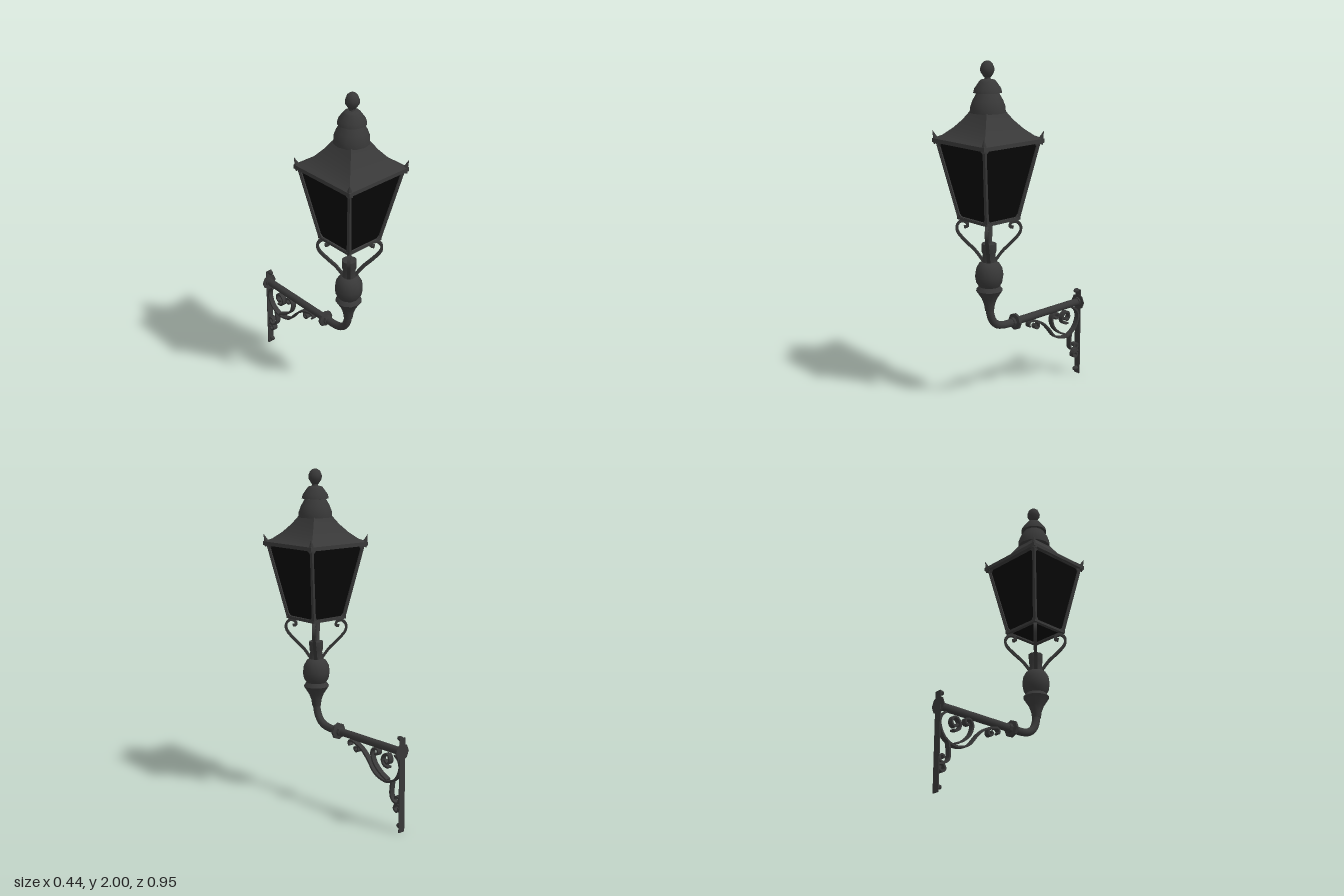
import * as THREE from 'three';
import { toCreasedNormals } from 'three/addons/utils/BufferGeometryUtils.js';

const iron = new THREE.MeshStandardMaterial({ color: 0x383838 });
iron.name = 'iron';
const glass = new THREE.MeshStandardMaterial({ color: 0x070707, side: THREE.DoubleSide });
glass.name = 'dark glass';

const LAMP_Z = 0.25;
const V2 = (p) => new THREE.Vector2(p[0], p[1]);

function add(parent, name, geometry, material = iron) {
  const mesh = new THREE.Mesh(geometry, material);
  mesh.name = name;
  parent.add(mesh);
  return mesh;
}

// Turned part; profile runs from bottom to top as [radius, y]
function turned(profile, sides, crease = 0.75, phi = 0) {
  return toCreasedNormals(new THREE.LatheGeometry(profile.map(V2), sides, phi), crease);
}

// Flat iron strip following a curve in the xy plane, centred on z = 0
function ribbon(points, thickness, width, divisions) {
  const curve = new THREE.SplineCurve(points.map(V2));
  const left = [], right = [];
  for (let i = 0; i <= divisions; i++) {
    const p = curve.getPoint(i / divisions), t = curve.getTangent(i / divisions);
    const n = new THREE.Vector2(-t.y, t.x).multiplyScalar(thickness / 2);
    left.push(p.clone().add(n));
    right.push(p.clone().sub(n));
  }
  const g = new THREE.ExtrudeGeometry(new THREE.Shape(left.concat(right.reverse())),
    { depth: width, bevelEnabled: false });
  return toCreasedNormals(g.translate(0, 0, -width / 2), 0.7);
}

// Straight bar between two points
function bar(a, b, radius, sides) {
  const dir = b.clone().sub(a);
  const g = new THREE.CylinderGeometry(radius, radius, dir.length(), sides);
  g.applyQuaternion(new THREE.Quaternion().setFromUnitVectors(
    new THREE.Vector3(0, 1, 0), dir.normalize()));
  return toCreasedNormals(g.translate(...a.clone().add(b).multiplyScalar(0.5).toArray()), 0.8);
}

function buildLantern() {
  const g = new THREE.Group();
  g.name = 'lantern';
  g.position.z = LAMP_Z;
  const y0 = 1.13, y1 = 1.575, b = 0.12, t = 0.203, R2 = Math.SQRT2;

  // Dark glazing, sloping outward, and its floor
  const panes = new THREE.CylinderGeometry((t - 0.012) * R2, (b - 0.008) * R2, y1 - y0, 4, 1, true)
    .rotateY(Math.PI / 4).translate(0, (y0 + y1) / 2, 0);
  add(g, 'glassPanes', toCreasedNormals(panes, 0.3), glass);
  add(g, 'glassFloor', new THREE.PlaneGeometry(2 * b - 0.02, 2 * b - 0.02)
    .rotateX(Math.PI / 2).translate(0, y0 + 0.006, 0), glass);

  // Window frames with clipped corners
  const slant = Math.hypot(y1 - y0, t - b), tilt = Math.atan2(t - b, y1 - y0);
  const frame = new THREE.Shape([[-b, 0], [b, 0], [t, slant], [-t, slant]].map(V2));
  const lo = b - 0.014, hi = t - 0.02, top = slant - 0.016;
  frame.holes.push(new THREE.Path([[-lo + 0.012, 0.014], [-lo - 0.002, 0.03],
    [-hi + 0.002, top - 0.02], [-hi + 0.018, top], [hi - 0.018, top],
    [hi - 0.002, top - 0.02], [lo + 0.002, 0.03], [lo - 0.012, 0.014]].map(V2)));
  const frameGeo = new THREE.ExtrudeGeometry(frame, { depth: 0.008, bevelEnabled: false })
    .translate(0, 0, -0.008).rotateX(tilt).translate(0, y0, b);

  // Scroll supports under the lantern, drawn outward along the diagonal
  const scroll = ribbon([[0.03, 0.88], [0.05, 0.91], [0.08, 0.95], [0.13, 1.0], [0.172, 1.05],
    [0.178, 1.09], [0.155, 1.117], [0.125, 1.11], [0.118, 1.088], [0.138, 1.083]], 0.015, 0.02, 26);

  for (let i = 0; i < 4; i++) {
    const a = i * Math.PI / 2;
    add(g, 'windowFrame', frameGeo).rotation.y = a;
    add(g, 'bottomRail', new THREE.BoxGeometry(2 * b + 0.01, 0.014, 0.022)
      .translate(0, y0 + 0.004, b - 0.006)).rotation.y = a;
    add(g, 'cornerBar', bar(new THREE.Vector3(b - 0.003, y0, b - 0.003),
      new THREE.Vector3(t - 0.003, y1, t - 0.003), 0.008, 6)).rotation.y = a;
    add(g, 'cornerHorn', new THREE.ConeGeometry(0.022, 0.075, 5).rotateZ(-0.35)
      .translate(0.292, 1.592, 0)).rotation.y = a + Math.PI / 4;
    add(g, 'scrollSupport', scroll).rotation.y = a + Math.PI / 4;
  }

  // Square, slightly hollow roof
  const roof = [[0, 1.56], [0.217, 1.56], [0.217, 1.582], [0.178, 1.6], [0.135, 1.64],
    [0.098, 1.685], [0.07, 1.73], [0, 1.73]].map(([r, y]) => [r * R2, y]);
  add(g, 'roof', turned(roof, 4, 0.5, Math.PI / 4));

  // Tiered chimney with ball finial
  add(g, 'lowerVent', turned([[0, 1.715], [0.1, 1.725], [0.098, 1.755], [0.085, 1.79],
    [0.062, 1.83], [0, 1.835]], 12));
  add(g, 'upperVent', turned([[0, 1.825], [0.08, 1.832], [0.074, 1.855], [0.047, 1.892],
    [0.04, 1.9], [0.018, 1.905], [0.015, 1.93], [0, 1.93]], 12));
  add(g, 'finial', turned([[0, 1.905], [0.02, 1.915], [0.038, 1.942], [0.04, 1.962],
    [0.03, 1.987], [0.015, 2.0], [0, 2.0]], 9, 1));

  // Centre rod and turned pedestal
  add(g, 'centreRod', new THREE.CylinderGeometry(0.008, 0.008, 0.17, 8).translate(0, 1.06, 0));
  add(g, 'pedestal', turned([[0, 0.59], [0.026, 0.59], [0.032, 0.63], [0.045, 0.665],
    [0.077, 0.715], [0.06, 0.738], [0.076, 0.765], [0.082, 0.8], [0.076, 0.84], [0.058, 0.872],
    [0.04, 0.882], [0.036, 0.925], [0.042, 0.94], [0.042, 0.988], [0, 0.988]], 12));
  return g;
}

function buildArm() {
  const g = new THREE.Group();
  g.name = 'wallArm';
  const v = (y, z) => new THREE.Vector3(0, y, z);

  // Pipe rising from the wall into the pedestal
  const bend = new THREE.CurvePath();
  bend.add(new THREE.LineCurve3(v(0.475, -0.478), v(0.475, 0.11)));
  bend.add(new THREE.CubicBezierCurve3(v(0.475, 0.11), v(0.475, 0.2), v(0.51, 0.245), v(0.61, 0.25)));
  add(g, 'armPipe', new THREE.TubeGeometry(bend, 40, 0.023, 10));

  // Collar on the pipe
  add(g, 'collar', turned([[0.02, 0.015], [0.029, 0.022], [0.029, 0.04], [0.05, 0.045],
    [0.05, 0.06], [0.029, 0.065], [0.029, 0.08], [0.02, 0.085]], 8, 0.5).rotateX(Math.PI / 2)
    .translate(0, 0.475, 0));

  // Wall plate, flange and bolts
  add(g, 'wallPlate', new THREE.BoxGeometry(0.042, 0.555, 0.006).translate(0, 0.2785, -0.479));
  add(g, 'wallFlange', new THREE.CylinderGeometry(0.05, 0.05, 0.006, 8)
    .rotateX(Math.PI / 2).translate(0, 0.475, -0.478));
  add(g, 'pipeSocket', new THREE.CylinderGeometry(0.029, 0.029, 0.012, 10)
    .rotateX(Math.PI / 2).translate(0, 0.475, -0.47));
  for (const y of [0.55, 0.035]) {
    add(g, 'bolt', turned([[0, -0.476], [0.012, -0.476], [0.015, -0.462], [0.01, -0.448],
      [0, -0.442]], 8).rotateX(Math.PI / 2).translate(0, y, 0));
  }

  // Scrollwork beneath the arm, points as [z, y]
  const scrolls = {
    mainScroll: [[-0.06, 0.415], [-0.05, 0.43], [-0.065, 0.448], [-0.11, 0.438], [-0.16, 0.415],
      [-0.21, 0.37], [-0.265, 0.305], [-0.32, 0.28], [-0.38, 0.276], [-0.44, 0.31],
      [-0.47, 0.37], [-0.462, 0.42], [-0.43, 0.448]],
    smallScroll: [[-0.13, 0.425], [-0.13, 0.4], [-0.112, 0.393], [-0.1, 0.408], [-0.112, 0.42]],
    innerScroll: [[-0.27, 0.415], [-0.292, 0.418], [-0.295, 0.442], [-0.262, 0.447],
      [-0.243, 0.415], [-0.262, 0.36], [-0.31, 0.315], [-0.37, 0.285]],
    curlScroll: [[-0.35, 0.4], [-0.37, 0.382], [-0.39, 0.4], [-0.38, 0.432], [-0.35, 0.432],
      [-0.33, 0.4], [-0.345, 0.368], [-0.38, 0.36]],
    lowerScroll: [[-0.41, 0.29], [-0.402, 0.24], [-0.405, 0.195], [-0.43, 0.17],
      [-0.46, 0.172], [-0.468, 0.2], [-0.445, 0.207], [-0.437, 0.19]],
    endScroll: [[-0.475, 0.155], [-0.445, 0.16], [-0.43, 0.135], [-0.447, 0.118],
      [-0.465, 0.128], [-0.462, 0.145]],
  };
  for (const [name, pts] of Object.entries(scrolls)) {
    add(g, name, ribbon(pts, 0.011, 0.032, pts.length * 4).rotateY(-Math.PI / 2));
  }
  return g;
}

export function createModel() {
  const model = new THREE.Group();
  model.name = 'wallLantern';
  model.add(buildLantern(), buildArm());
  return model;
}
